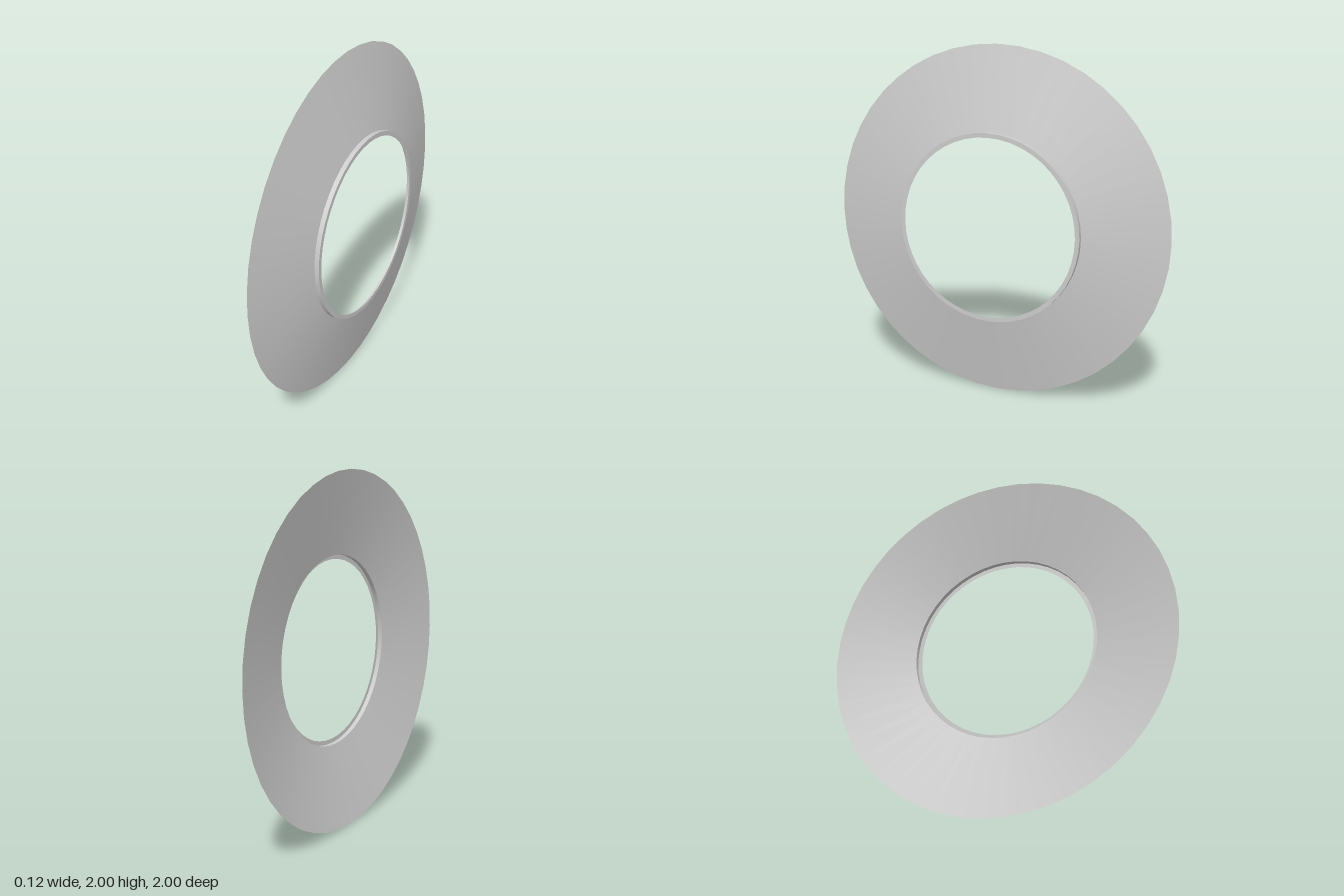
import * as THREE from 'three';

const SEGMENTS = 48;

export function createModel() {
  const group = new THREE.Group();
  group.name = 'flangedRing';
  const material = new THREE.MeshStandardMaterial({ color: 0xcccccc, side: THREE.DoubleSide });

  // Profile corners as [radius, position along x], from the outer rim to the hole
  const profile = [[1, -0.062], [0.537, 0.036], [0.537, 0.062], [0.512, 0.062]];
  const names = ['conicalFlange', 'collarWall', 'collarLip'];

  // Each band is its own thin surface of revolution, so the edges between them stay sharp
  names.forEach((name, i) => {
    const points = [profile[i], profile[i + 1]].map(([r, x]) => new THREE.Vector2(r, x));
    const geometry = new THREE.LatheGeometry(points, SEGMENTS);
    geometry.rotateZ(-Math.PI / 2); // turn the axis to +x
    geometry.translate(0, 1, 0);
    const mesh = new THREE.Mesh(geometry, material);
    mesh.name = name;
    group.add(mesh);
  });

  return group;
}
